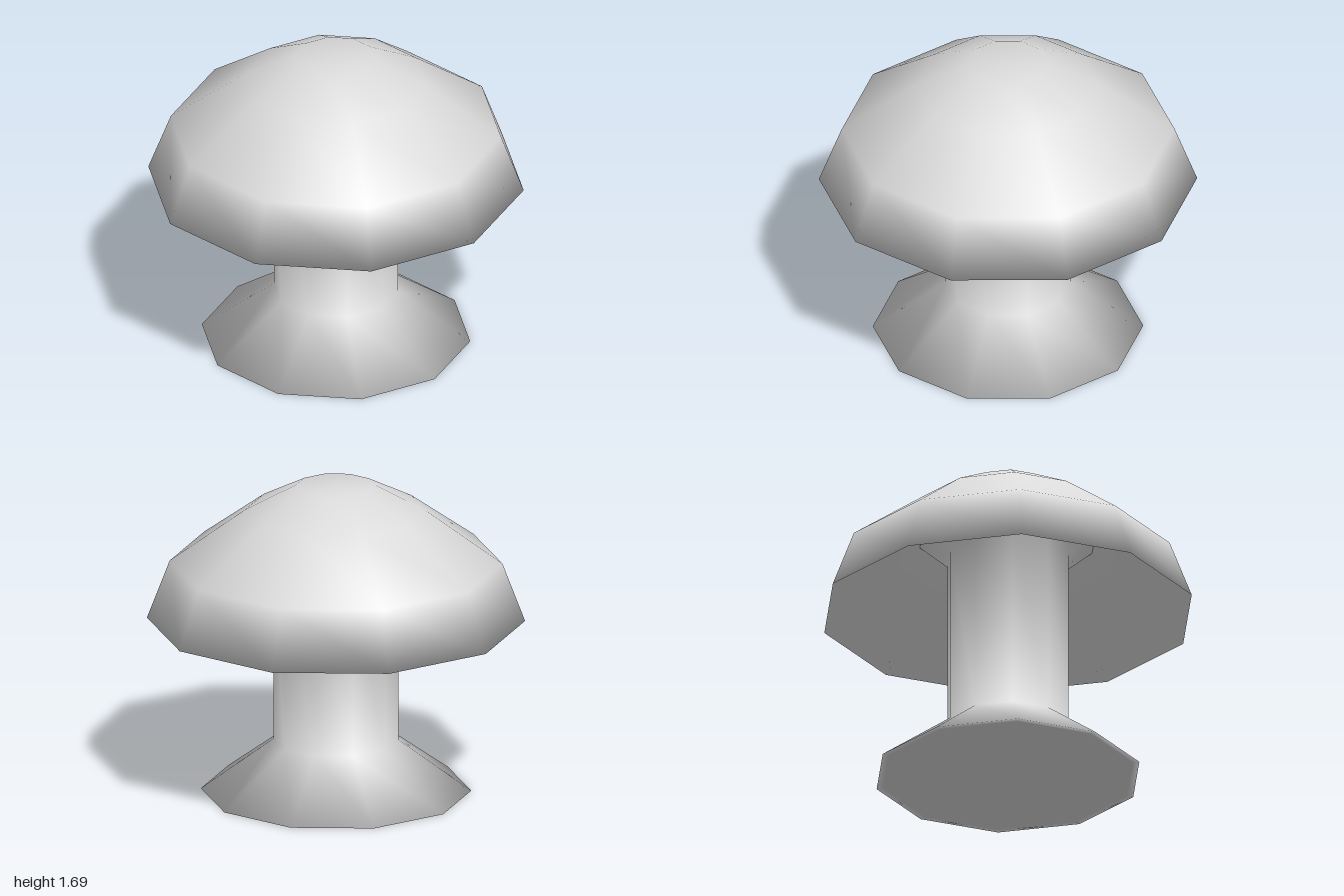
import * as THREE from 'three';

const SIDES = 10;

// Ten-sided turned part from [radius, height] pairs, smooth across every edge
function turned(name, profile, material) {
  const points = profile.map(([r, y]) => new THREE.Vector2(r, y));
  const geometry = new THREE.LatheGeometry(points, SIDES);

  // Outward direction of each profile segment, averaged equally at each point
  const outward = points.slice(1).map((p, i) =>
    new THREE.Vector2(p.y - points[i].y, points[i].x - p.x).normalize());
  const normals = geometry.attributes.normal;
  for (let side = 0; side <= SIDES; side++) {
    const angle = (side / SIDES) * Math.PI * 2;
    points.forEach((_, j) => {
      const before = outward[Math.max(j - 1, 0)];
      const after = outward[Math.min(j, outward.length - 1)];
      const n = before.clone().add(after).normalize();
      normals.setXYZ(side * points.length + j, n.x * Math.sin(angle), n.y, n.x * Math.cos(angle));
    });
  }

  const mesh = new THREE.Mesh(geometry, material);
  mesh.name = name;
  return mesh;
}

export function createModel() {
  const paleGrey = new THREE.MeshStandardMaterial({ color: 0xdadada });
  paleGrey.name = 'paleGrey';

  const mushroom = new THREE.Group();
  mushroom.name = 'mushroom';

  // Flared foot with a closed bottom, straight stem, small flare under the cap
  mushroom.add(turned('stem', [
    [0, 0], [0.68, 0], [0.715, 0], [0.33, 0.28], [0.33, 1.25], [0.48, 1.38],
  ], paleGrey));

  // Hollow underside, outer rim, shoulder and flat crown
  mushroom.add(turned('cap', [
    [0.48, 1.38], [1, 0.943], [0.88, 1.26], [0.48, 1.547], [0.21, 1.687], [0, 1.687],
  ], paleGrey));

  return mushroom;
}
